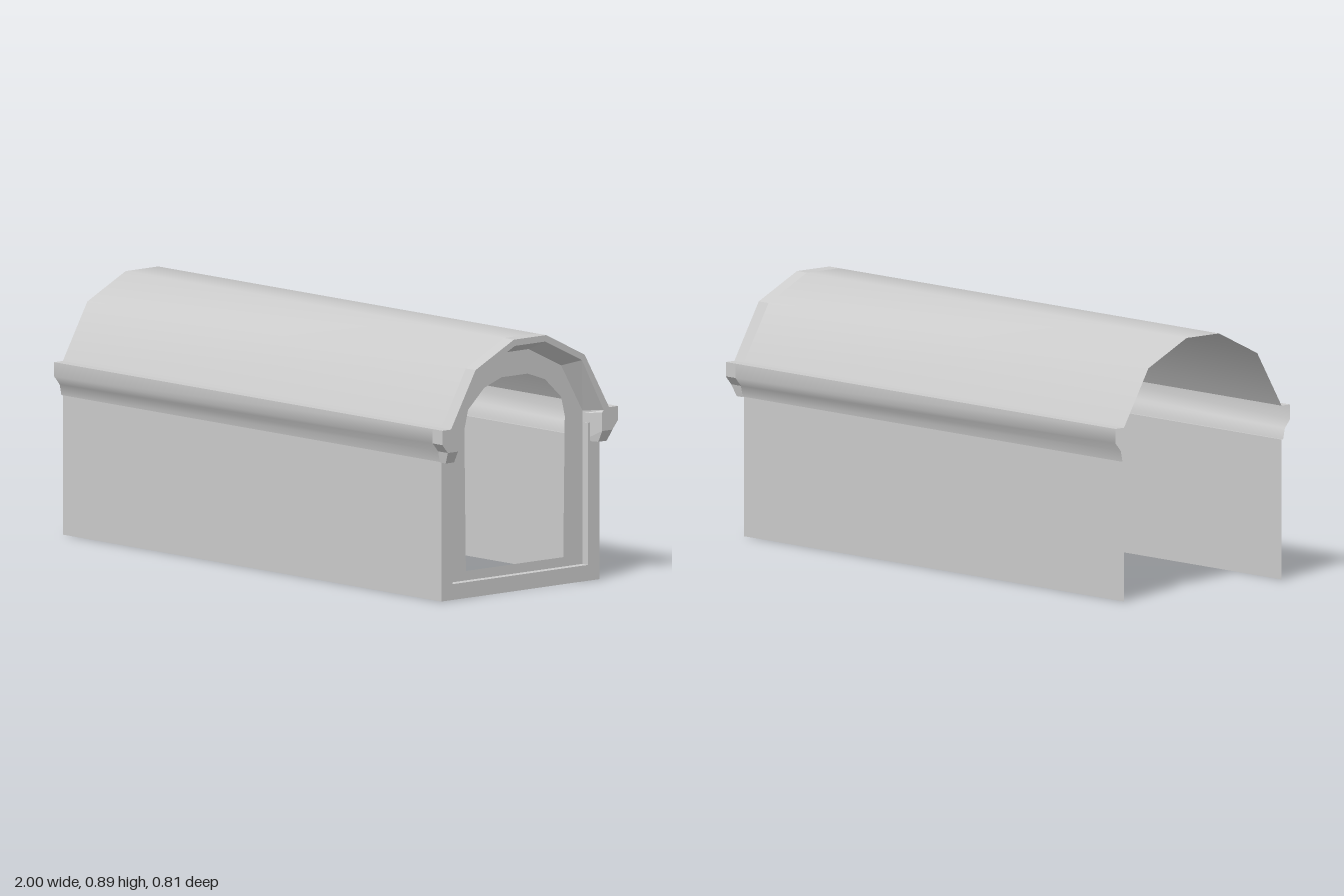
import * as THREE from 'three';

const material = new THREE.MeshStandardMaterial({ color: 0xcccccc, side: THREE.DoubleSide });

// Profile points are [z, y], from the +z foot upward
const mirrorZ = (half) => half.map(([z, y, x]) => [-z, y, x]).reverse();
const arch = (half) => [...half, ...mirrorZ(half)];

// Place a profile at x; a third value in a point overrides x
const at = (profile, x) => profile.map(([z, y, px]) => [px ?? x, y, z]);

// Skin between matching cross-sections
function loft(loops, flat = false) {
  const n = loops[0].length, index = [];
  for (let j = 0; j < loops.length - 1; j++) {
    for (let i = 0; i < n - 1; i++) {
      const a = j * n + i, b = a + n;
      index.push(a, b, b + 1, a, b + 1, a + 1);
    }
  }
  let geometry = new THREE.BufferGeometry();
  geometry.setAttribute('position', new THREE.Float32BufferAttribute(loops.flat(2), 3));
  geometry.setIndex(index);
  if (flat) geometry = geometry.toNonIndexed();
  geometry.computeVertexNormals();
  return geometry;
}

const toShape = (points) => new THREE.Shape(points.map(([z, y]) => new THREE.Vector2(z, y)));

export function createModel() {
  const model = new THREE.Group();
  const add = (name, geometry) => {
    const mesh = new THREE.Mesh(geometry, material);
    mesh.name = name;
    model.add(mesh);
    return mesh;
  };
  const back = -1, frameX = 0.95, panelX = 0.92, front = 1;
  const skin = (profile) => loft([at(profile, back), at(profile, frameX)]);

  // Curved roof skin
  const roofHalf = [[0.365, 0.605], [0.252, 0.8], [0.075, 0.887]];
  add('roof', skin(arch(roofHalf)));

  // Side walls and hollow eave rails
  const railHalf = [[0.372, 0.487], [0.38, 0.525], [0.405, 0.555], [0.405, 0.605]];
  const sides = {
    Wall: [[0.365, 0], [0.365, 0.487]],
    RailUnderside: [[0.365, 0.487], [0.372, 0.487]],
    Rail: railHalf,
    RailTop: [[0.405, 0.605], [0.365, 0.605]],
  };
  for (const [part, profile] of Object.entries(sides)) {
    add('left' + part, skin(profile));
    add('right' + part, skin(mirrorZ(profile)));
  }

  // Faceted hood around the end: outer band, end face, sloping reveal
  const outer = [[0.372, 0.485], ...railHalf.slice(1), ...roofHalf];
  const lip = [[0.333, 0.485], [0.333, 0.525], [0.333, 0.555], [0.333, 0.59],
    [0.34, 0.597], [0.24, 0.782], [0.07, 0.865]];
  const reveal = [[0.313, 0.485], [0.313, 0.525], [0.313, 0.555], [0.313, 0.58],
    [0.313, 0.59], [0.215, 0.757], [0.065, 0.83]];
  // the feet of the hood are cut back at a slant
  const slant = ([[z, y], ...rest]) => [[z, y, 0.98], ...rest];
  const loops = [
    at(arch(outer), frameX),
    at(arch(slant(outer)), front),
    at(arch(slant(lip)), front),
    at(arch(reveal), panelX),
  ];
  add('endHood', loft(loops, true));
  for (const [name, i] of [['leftHoodFoot', 0], ['rightHoodFoot', loops[0].length - 1]]) {
    const [a, b, c, d] = loops.map((loop) => loop[i]);
    add(name, loft([[a, d], [b, c]], true));
  }

  // U-shaped end frame
  const frameHalf = [[0.313, 0.055], [0.313, 0.55], [0.365, 0.55], [0.365, 0]];
  const frame = new THREE.ExtrudeGeometry(toShape(arch(frameHalf)),
    { depth: frameX - panelX, bevelEnabled: false });
  add('endFrame', frame.rotateY(Math.PI / 2).translate(panelX, 0, 0));

  // Recessed end panel with an arched opening
  const panel = toShape(arch([[0.313, 0.055], ...reveal.slice(4)]));
  panel.holes.push(toShape(arch([[0.225, 0.088], [0.232, 0.58], [0.215, 0.648],
    [0.14, 0.717], [0.06, 0.745]])));
  add('endPanel', new THREE.ShapeGeometry(panel).rotateY(Math.PI / 2).translate(panelX, 0, 0));

  return model;
}
